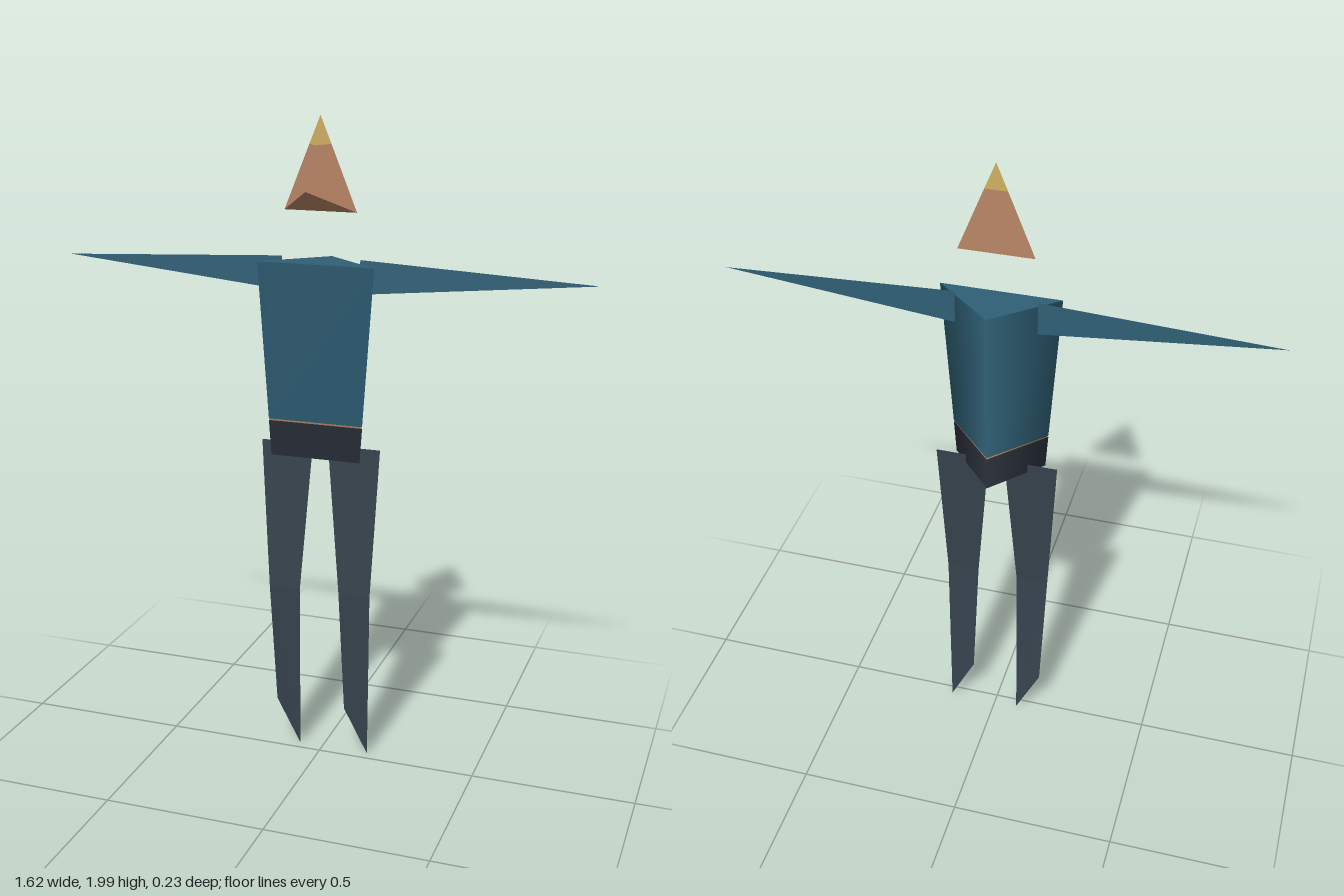
import * as THREE from 'three';

const material = (name, color, side = THREE.FrontSide) => {
  const m = new THREE.MeshStandardMaterial({ color, side });
  m.name = name;
  return m;
};

// Flat faces given as corner loops, each cut into a fan of triangles
function faces(loops) {
  const pos = [];
  for (const p of loops)
    for (let i = 1; i < p.length - 1; i++) pos.push(...p[0], ...p[i], ...p[i + 1]);
  const g = new THREE.BufferGeometry();
  g.setAttribute('position', new THREE.Float32BufferAttribute(pos, 3));
  g.computeVertexNormals();
  return g;
}

// Smooth three-sided prism, pointed at the back, tapering in x
function prism(y0, y1, halfBottom, halfTop) {
  const g = new THREE.CylinderGeometry(1, 1, y1 - y0, 3, 1, false, Math.PI);
  g.scale(halfTop / Math.sin(Math.PI / 3), 1, 0.103);
  g.translate(0, (y0 + y1) / 2, -0.012);
  const p = g.attributes.position;
  for (let i = 0; i < p.count; i++) {
    const t = (p.getY(i) - y0) / (y1 - y0);
    p.setX(i, p.getX(i) * THREE.MathUtils.lerp(halfBottom / halfTop, 1, t));
  }
  return g;
}

export function createModel() {
  const group = new THREE.Group();
  const skin = material('skin', 0xb98666);
  const hair = material('hair', 0xcfb062);
  const shirt = material('shirt', 0x2f6076, THREE.DoubleSide);
  const belt = material('trouser top', 0x2b313b);
  const trousers = material('trousers', 0x36424d, THREE.DoubleSide);
  const add = (name, geometry, mat) => {
    const mesh = new THREE.Mesh(geometry, mat);
    mesh.name = name;
    group.add(mesh);
  };

  // Head: a wedge with the nose as front corner, its tip is the hair
  const A = [0, 2, -0.01], L = [0.11, 1.73, -0.01], R = [-0.11, 1.73, -0.01], N = [0, 1.8, 0.12];
  const l = [0.033, 1.92, -0.01], r = [-0.033, 1.92, -0.01], n = [0, 1.92, 0.042];
  add('hair', faces([[A, n, l], [A, r, n], [A, l, r]]), hair);
  add('face', faces([[l, n, N, L], [n, r, R, N], [r, l, L, R], [L, N, R]]), skin);

  // Body
  add('shirt', prism(1.112, 1.583, 0.146, 0.178), shirt);
  add('waist', prism(1.107, 1.112, 0.144, 0.144), skin);
  add('hips', prism(1.0, 1.107, 0.139, 0.146), belt);

  // Arms and legs are flat sheets; both feet slant the same way
  for (const [side, s] of [['left', 1], ['right', -1]]) {
    add(side + 'Arm', faces([[
      [0.12 * s, 1.595, -0.012], [0.12 * s, 1.494, -0.012], [0.81 * s, 1.562, -0.01],
    ]]), shirt);

    const kneeOut = [0.163 * s, 0.56, 0.003], kneeIn = [0.063 * s, 0.56, 0.003];
    const out = s > 0 ? 0.01 : 0.16, inn = s > 0 ? 0.16 : 0.01;
    const z = y => (y < 0.1 ? -0.03 : -0.022);
    add(side + 'Leg', faces([
      [[0.187 * s, 1.03, -0.01], [0.024 * s, 1.03, -0.01], kneeIn, kneeOut],
      [kneeOut, kneeIn, [0.075 * s, inn, z(inn)], [0.15 * s, out, z(out)]],
    ]), trousers);
  }

  // Stand on the ground
  group.children.forEach(m => m.geometry.translate(0, -0.005, 0));
  return group;
}
